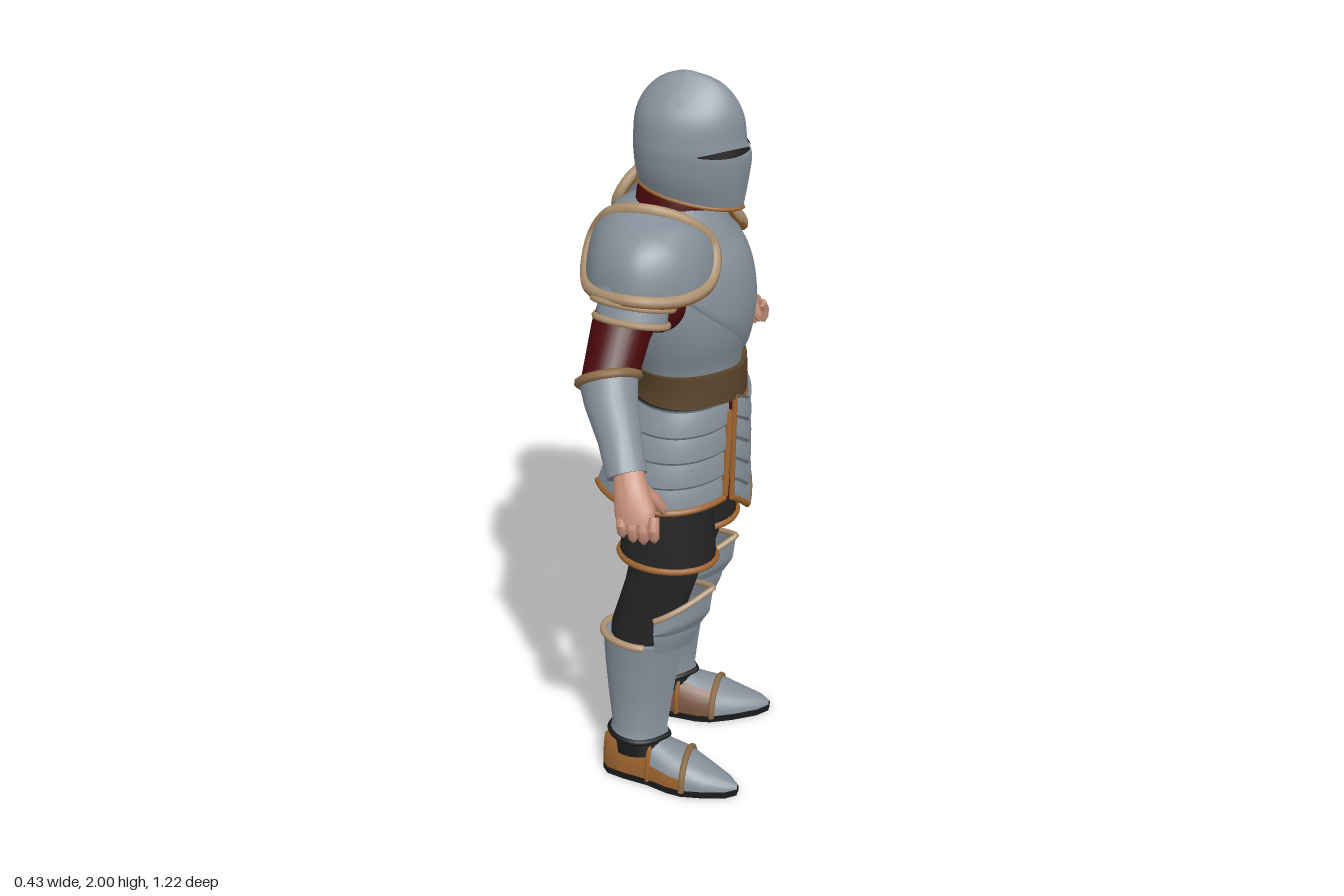
import * as THREE from 'three';
import { toCreasedNormals } from 'three/addons/utils/BufferGeometryUtils.js';

const V = (x, y, z) => new THREE.Vector3(x, y, z);
const mat = (name, color) => new THREE.MeshStandardMaterial({ name, color, side: THREE.DoubleSide });
const lerp = THREE.MathUtils.lerp;
// Cosine that sharpens into a ridge at the front
const bend = (c, ridge) => (c > 0 ? lerp(c, Math.asin(Math.min(c, 1)) * 2 / Math.PI, ridge) : c);

// Skin a list of point rows; closed rows wrap around and may be capped
function loft(rows, closed = true, caps = false) {
  rows = rows.slice();
  if (caps) {
    const middle = (r) => { const m = V(0, 0, 0); r.forEach((p) => m.add(p)); m.divideScalar(r.length); return r.map(() => m); };
    rows = [middle(rows[0]), ...rows, middle(rows[rows.length - 1])];
  }
  const n = rows[0].length, out = [];
  const tri = (a, b, c) => {
    if (a.distanceTo(b) > 1e-6 && b.distanceTo(c) > 1e-6 && c.distanceTo(a) > 1e-6) for (const p of [a, b, c]) out.push(p.x, p.y, p.z);
  };
  for (let i = 0; i < rows.length - 1; i++) for (let j = 0; j < (closed ? n : n - 1); j++) {
    const k = (j + 1) % n;
    tri(rows[i][j], rows[i + 1][j], rows[i][k]);
    tri(rows[i][k], rows[i + 1][j], rows[i + 1][k]);
  }
  const g = new THREE.BufferGeometry();
  g.setAttribute('position', new THREE.Float32BufferAttribute(out, 3));
  return toCreasedNormals(g, 0.7);
}

// Open surface from fn(u, v), both 0..1
function patch(fn, nu, nv) {
  return loft(Array.from({ length: nv + 1 }, (_, i) => Array.from({ length: nu + 1 }, (_, j) => fn(j / nu, i / nv))), false);
}

// Rings set square to a path; each row is [x, y, z, forwardRadius, sideRadius]
function limbRings(rows, ridge = 0, n = 24) {
  return rows.map((r, i) => {
    const a = rows[Math.max(i - 1, 0)], b = rows[Math.min(i + 1, rows.length - 1)];
    const t = V(b[0] - a[0], b[1] - a[1], b[2] - a[2]).normalize();
    const u = V(1, 0, 0).addScaledVector(t, -t.x).normalize(), v = u.clone().cross(t);
    return Array.from({ length: n }, (_, j) => {
      const q = j / n * Math.PI * 2;
      return V(r[0], r[1], r[2]).addScaledVector(u, r[3] * bend(Math.cos(q), ridge)).addScaledVector(v, (r[4] ?? r[3]) * Math.sin(q));
    });
  });
}
const limb = (rows, ridge, n) => loft(limbRings(rows, ridge, n), true, true);

// Upright body from rows [y, back, front, middle, halfWidth]; gives a point at (angle, y, offset)
function body(rows, ridge = 0) {
  return (a, y, off = 0) => {
    let i = 0;
    while (i < rows.length - 2 && y > rows[i + 1][0]) i++;
    const p0 = rows[Math.max(i - 1, 0)], p1 = rows[i], p2 = rows[i + 1], p3 = rows[Math.min(i + 2, rows.length - 1)];
    const t = (y - p1[0]) / (p2[0] - p1[0]);
    const [, back, front, mid, w] = p1.map((_, k) => {
      const m1 = (p2[k] - p0[k]) / (p2[0] - p0[0]) * (p2[0] - p1[0]), m2 = (p3[k] - p1[k]) / (p3[0] - p1[0]) * (p2[0] - p1[0]);
      return (2 * t ** 3 - 3 * t * t + 1) * p1[k] + (t ** 3 - 2 * t * t + t) * m1 + (3 * t * t - 2 * t ** 3) * p2[k] + (t ** 3 - t * t) * m2;
    });
    const c = Math.cos(a);
    return V(mid + bend(c, ridge) * ((c > 0 ? front - mid : mid - back) + off), y, (w + off) * Math.sin(a));
  };
}
const wrap = (f, y0, y1, n = 16, off = 0) => loft(Array.from({ length: n + 1 }, (_, i) =>
  Array.from({ length: 40 }, (_, j) => f(j / 40 * Math.PI * 2, lerp(y0, y1, i / n), off))), true, true);
const cord = (pts, r, closed = false) => new THREE.TubeGeometry(new THREE.CatmullRomCurve3(pts, closed), closed ? 48 : 36, r, 7, closed);

function mirrored(geo) {
  const g = geo.index ? geo.toNonIndexed() : geo.clone();
  g.scale(1, 1, -1);
  for (const at of [g.attributes.position, g.attributes.normal]) for (let i = 0; i < at.count; i += 3) {
    const b = [at.getX(i + 1), at.getY(i + 1), at.getZ(i + 1)];
    at.setXYZ(i + 1, at.getX(i + 2), at.getY(i + 2), at.getZ(i + 2));
    at.setXYZ(i + 2, ...b);
  }
  return g;
}

export function createModel() {
  const root = new THREE.Group();
  root.name = 'armouredKnight';
  const steel = mat('steel', 0x858f99), tan = mat('tanTrim', 0xaf9270), copper = mat('copperTrim', 0x9c632e), cuffBrown = mat('cuffBrown', 0x8d6d48),
    red = mat('redCloth', 0x4a080b), black = mat('blackCloth', 0x242424), leather = mat('beltLeather', 0x58432a),
    shoeLeather = mat('shoeLeather', 0x75523f), skin = mat('skin', 0xc08b76), dark = mat('darkSole', 0x1a1a1b);
  const add = (name, geo, m) => { const o = new THREE.Mesh(geo, m); o.name = name; root.add(o); };
  const pair = (name, geo, m) => { add(name + 'A', geo, m); add(name + 'B', mirrored(geo), m); };

  // Helmet, with a pointed crest and dipping chin
  const skull = body([[1.69, -.11, .155, 0, .078], [1.75, -.117, .168, 0, .098], [1.805, -.12, .176, 0, .105], [1.83, -.12, .165, 0, .105],
    [1.9, -.112, .155, 0, .09], [1.95, -.085, .128, .01, .055], [1.985, -.045, .085, .015, .02], [2, -.005, .03, .015, .003]], .25);
  const helm = (a, y, off) => { const p = skull(a, y, off); p.y -= p.x * .22 * Math.max(0, (1.81 - y) / .12); return p; };
  add('helmet', wrap(helm, 1.69, 2, 28), steel);
  add('helmetRim', cord(Array.from({ length: 24 }, (_, i) => helm(i / 12 * Math.PI, 1.692)), .005, true), copper);
  pair('eyeSlit', patch((u, v) => helm(lerp(.08, 1.15, u), 1.82 + (v - .5) * .019 * Math.sin(Math.PI * (.1 + .85 * u)), .004), 12, 1), dark);
  add('collar', limb([[-.02, 1.62, 0, .1, .085], [-.018, 1.685, 0, .095, .078], [-.015, 1.72, 0, .08, .065]]), red);

  // Cuirass with a raised, V-shaped breastplate
  const torso = body([[1.18, -.11, .15, .02, .15], [1.25, -.125, .157, 0, .16], [1.33, -.16, .178, 0, .185], [1.42, -.18, .186, -.01, .203],
    [1.52, -.195, .168, -.02, .198], [1.6, -.193, .122, -.03, .165], [1.64, -.165, .088, -.03, .125], [1.663, -.118, .07, -.025, .09]], .1);
  add('cuirass', wrap(torso, 1.18, 1.663, 20), steel);
  add('breastplate', patch((u, v) => {
    const a = lerp(-1.15, 1.15, u);
    return torso(a, lerp(1.265 + .18 * Math.abs(a), 1.58, v), v === 0 || v === 1 ? 0 : .005);
  }, 32, 12), steel);
  const waist = body([[1.155, -.125, .165, .02, .172], [1.2, -.12, .165, .02, .165], [1.25, -.13, .162, .01, .165]]);
  const belt = (a, y, off) => { const p = waist(a, y, off); p.y -= .018 * Math.max(0, Math.cos(a)) ** 8; return p; };
  add('belt', wrap(belt, 1.163, 1.247, 4, .004), leather);

  // Breeches
  add('hips', wrap(body([[.84, -.12, .1, 0, .17], [1, -.14, .12, 0, .19], [1.2, -.115, .14, .01, .155]]), .84, 1.2, 8), black);
  const hem = [[0, 1.02, .1, .12, .085], [-.005, .85, .11, .117, .1], [-.007, .7, .118, .128, .106]];
  pair('breechesLeg', limb(hem), black);
  pair('breechesHem', cord(limbRings(hem)[2], .009, true), copper);

  // Skirt of overlapping side lames, open at the back
  const skirt = body([[.9, -.212, .165, -.01, .24], [1, -.185, .16, 0, .222], [1.1, -.15, .155, .01, .2], [1.18, -.12, .15, .02, .175]]);
  const a1 = 2.6, lames = 4, frontEdge = (v) => lerp(.56, .44, v);
  pair('sideTasset', patch((u, v) => skirt(lerp(frontEdge(v), a1, u), lerp(.9, 1.168, v), .011 * Math.cos(Math.PI / 2 * ((v * lames) % 1)) ** .6), 28, 32), steel);
  pair('tassetFrontTrim', cord(Array.from({ length: 9 }, (_, i) => skirt(frontEdge(i / 9), lerp(.905, 1.16, i / 9), .01)), .01), copper);
  pair('tassetHem', cord(Array.from({ length: 16 }, (_, i) => skirt(lerp(.56, a1, i / 15), .9, .01)), .009), copper);
  pair('skirtLining', patch((u, v) => skirt(lerp(.12, .66, u), lerp(.872, 1.14, v), -.006), 8, 6), red);

  // Front panel of chevron lames, ending in a point
  const panel = (s, v, lift = 0) => V(.172 - .022 * s * s + lift, lerp(.805, 1.13, v) + .07 * Math.abs(s) * (1 - .5 * v), s * lerp(.084, .058, v));
  add('frontPanel', patch((u, v) => panel(2 * u - 1, v, .011 * Math.cos(Math.PI / 2 * ((v * 5) % 1))), 16, 40), steel);
  for (const s of [-1, 1]) {
    add('frontPanelSideTrim', cord(Array.from({ length: 7 }, (_, i) => panel(s, 1 - i / 6, .005)), .007), copper);
    add('frontPanelHem', cord(Array.from({ length: 5 }, (_, i) => panel(s * (1 - i / 4), 0, .006)), .009), copper);
  }

  // Pauldron shell drawn from its rim up to a rounded crown
  const rimCurve = new THREE.CatmullRomCurve3([V(-.05, 1.7, .163), V(.05, 1.67, .14), V(.108, 1.6, .108), V(.118, 1.535, .165), V(.075, 1.522, .26),
    V(-.04, 1.535, .325), V(-.16, 1.522, .26), V(-.2, 1.535, .165), V(-.195, 1.6, .11), V(-.14, 1.675, .142)], true);
  const crown = V(-.042, 1.67, .24);
  pair('pauldron', patch((u, v) => {
    const p = rimCurve.getPoint(u % 1);
    const c = V(lerp(p.x, crown.x, .15), 0, lerp(p.z, crown.z, .35) + .022);
    c.y = crown.y - .4 * (c.z - crown.z);
    return p.multiplyScalar((1 - v) ** 2).addScaledVector(c, 2 * v * (1 - v)).addScaledVector(crown, v * v);
  }, 48, 12), steel);
  const rim = rimCurve.getPoints(40).slice(0, 40);
  pair('pauldronTrim', cord(rim, .015, true), tan);
  pair('pauldronTrimUnderside', cord(rim, .013, true).translate(0, -.006, 0), copper);
  for (const [k, y, z, r] of [[0, 1.495, .255, .1], [1, 1.455, .272, .09]]) {
    const lame = [[-.052, y + .06, z - .02, r * .96, r * .7], [-.056, y, z, r, r * .76]];
    pair('shoulderLame' + k, limb(lame), steel);
    pair('shoulderLameTrim' + k, cord(limbRings(lame)[1], .009, true), tan);
  }

  // Arms: sleeve, vambrace, hand
  pair('armpit', new THREE.SphereGeometry(.075, 20, 14).translate(-.015, 1.465, .182), red);
  pair('sleeve', limb([[-.05, 1.53, .19, .085], [-.08, 1.43, .28, .074, .07], [-.088, 1.32, .385, .066, .06]]), red);
  const vambrace = [[-.087, 1.34, .37, .073, .066], [-.07, 1.295, .405, .066, .06], [-.035, 1.23, .46, .054, .046], [-.003, 1.165, .515, .05, .04]];
  pair('vambrace', limb(vambrace, .15), steel);
  pair('vambraceCuff', cord(limbRings(vambrace, .15)[0], .012, true), cuffBrown);
  pair('palm', limb([[-.002, 1.18, .508, .036, .029], [.015, 1.145, .545, .043, .027], [.034, 1.105, .577, .05, .023], [.038, 1.08, .588, .045, .017]]), skin);
  for (let i = 0; i < 4; i++) {
    const x = .002 + i * .026, drop = [.012, .002, 0, .008][i];
    pair('finger' + i, limb([[x, 1.1, .58, .014], [x + .004, 1.07 + drop / 2, .596, .015], [x + .005, 1.045 + drop, .594, .013], [x + .004, 1.03 + drop, .588, .006]], 0, 10), skin);
  }
  pair('thumb', limb([[.03, 1.15, .535, .019], [.066, 1.12, .528, .017], [.085, 1.09, .52, .014], [.09, 1.076, .518, .006]], 0, 10), skin);

  // Legs: hose, greave, knee guard
  pair('hose', limb([[0, .76, .13, .085, .075], [-.012, .67, .132, .093, .073], [-.035, .58, .135, .088, .072], [-.075, .46, .138, .083, .07], [-.08, .4, .14, .08, .07]]), black);
  pair('ankle', limb([[-.085, .18, .155, .05, .045], [-.075, .08, .158, .075, .06]]), dark);
  const greave = [[-.078, .135, .156, .082, .07], [-.077, .165, .155, .077, .06], [-.077, .25, .147, .088, .064],
    [-.075, .35, .139, .1, .074], [-.07, .445, .136, .11, .082]];
  pair('greave', limb(greave, .75), steel);
  pair('greaveTopTrim', cord(limbRings(greave, .75)[4].slice(5, 20), .01), tan);
  pair('greaveFootTrim', cord(limbRings(greave, .75)[0], .008, true), dark);
  const knee = (u, v, rows, slope) => {
    const a = lerp(-1.5, 1.5, u), c = bend(Math.cos(a), .8), k = v * (rows.length - 1), i = Math.min(Math.floor(k), rows.length - 2);
    const [y, front, w] = rows[i].map((q, m) => lerp(q, rows[i + 1][m], k - i));
    return V(-.025 + (front + .025) * c, y - slope * v * (1 - c), .132 + w * Math.sin(a));
  };
  const low = [[.432, .062, .078], [.48, .08, .088], [.535, .087, .086]], high = [[.495, .084, .09], [.54, .11, .099], [.616, .12, .092]];
  pair('kneeLowerPlate', patch((u, v) => knee(u, v, low, 0), 18, 6), steel);
  pair('kneeUpperPlate', patch((u, v) => knee(u, v, high, .075), 18, 8), steel);
  pair('kneeTrim', cord(Array.from({ length: 17 }, (_, i) => knee(i / 16, 1, high, .075)), .008), tan);

  // Shoes: rows [x, centreZ, halfWidth, height], with leather inside, copper heel band, steel instep and toe
  const shoe = [[-.178, .15, .025, .085], [-.16, .15, .048, .105], [-.11, .152, .06, .115], [-.04, .158, .066, .115], [.02, .166, .078, .09],
    [.06, .172, .078, .078], [.12, .182, .06, .05], [.18, .193, .034, .028], [.208, .198, .008, .014]];
  const arch = ([x, z, w, h]) => Array.from({ length: 17 }, (_, j) => {
    const q = j / 16 * Math.PI;
    return V(x, .014 + h * Math.pow(Math.sin(q), .85), z + w * Math.cos(q));
  });
  const strip = (from, to, j0, j1) => loft(shoe.slice(from, to).map((r) => arch(r).slice(j0, j1)), false);
  pair('shoeHeelBack', loft([arch([-.178, .15, 0, 0]), arch(shoe[0])], false), copper);
  pair('shoeHeelOuter', strip(0, 4, 0, 9), copper);
  pair('shoeHeelInner', strip(0, 4, 8, 17), shoeLeather);
  pair('shoeOuterSide', strip(3, 6, 0, 3), copper);
  pair('shoeInstep', strip(3, 6, 2, 12), steel);
  pair('shoeInnerSide', strip(3, 6, 11, 17), shoeLeather);
  pair('shoeToe', strip(5, 9, 0, 17), steel);
  pair('toeStrap', cord(arch([.062, .172, .078, .077]), .009), cuffBrown);
  pair('heelStrap', cord(arch([-.04, .158, .066, .115]), .007), copper);
  const outline = [...shoe.map(([x, z, w]) => new THREE.Vector2(x, z + w + .003)), ...shoe.slice().reverse().map(([x, z, w]) => new THREE.Vector2(x, z - w - .003))];
  pair('shoeSole', new THREE.ExtrudeGeometry(new THREE.Shape(outline), { depth: .018, bevelEnabled: false }).rotateX(Math.PI / 2).translate(0, .018, 0), dark);
  return root;
}
